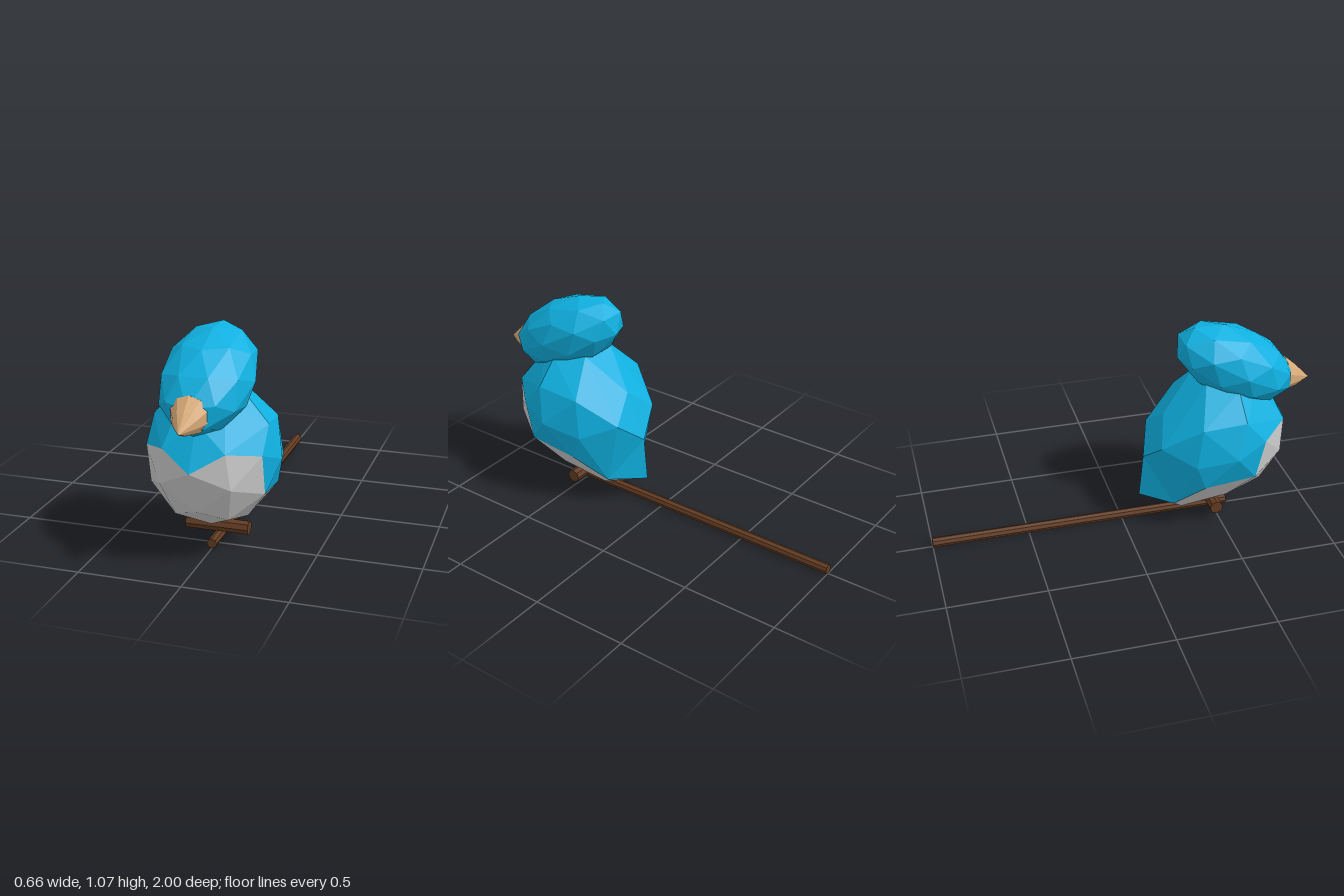
import * as THREE from 'three';

const paint = (name, color) => {
  const m = new THREE.MeshStandardMaterial({ color });
  m.name = name;
  return m;
};

// Faceted mesh: split the corners so every face has its own normal
function facet(name, geometry, material) {
  const g = geometry.index ? geometry.toNonIndexed() : geometry;
  g.deleteAttribute('normal');
  g.computeVertexNormals();
  const mesh = new THREE.Mesh(g, material);
  mesh.name = name;
  return mesh;
}

// Corners of an icosahedron, right half only; the other half is mirrored
const t = (1 + Math.sqrt(5)) / 2;
const CORNERS = {
  A: [0, -1, t], B: [0, 1, t], C: [t, 0, 1], D: [1, -t, 0],
  E: [1, t, 0], F: [t, 0, -1], G: [0, 1, -t], H: [0, -1, -t],
};

// Sculpted places of corners (one letter) and edge midpoints (two letters)
const BELLY = {
  AB: [0, 0.49, 0.88], A: [0, 0.27, 0.78], BC: [0.15, 0.575, 0.815], AC: [0.17, 0.4, 0.8],
  C: [0.28, 0.535, 0.675], CD: [0.28, 0.335, 0.63], AD: [0.13, 0.22, 0.71],
  D: [0.165, 0.17, 0.52], DD: [0, 0.13, 0.58], DF: [0.27, 0.3, 0.37],
  DH: [0.1, 0.09, 0.3], FH: [0.15, 0.15, 0.24], H: [0, 0.135, 0.095],
};
const BACK = {
  B: [0, 0.7, 0.77], BE: [0.1, 0.77, 0.67], E: [0.17, 0.78, 0.56], EE: [0, 0.82, 0.56],
  EG: [0.1, 0.8, 0.41], CE: [0.28, 0.655, 0.57], CF: [0.33, 0.475, 0.52],
  EF: [0.26, 0.63, 0.35], F: [0.28, 0.43, 0.32], FG: [0.15, 0.49, 0.17],
  G: [0, 0.61, 0.22], GH: [0, 0.365, 0.115],
};

// Direction of a named point; a doubled letter is the midpoint across the mirror
function direction(key) {
  const v = new THREE.Vector3(...CORNERS[key[0]]);
  if (key.length === 2) {
    const w = new THREE.Vector3(...CORNERS[key[1]]);
    if (key[0] === key[1]) w.x *= -1;
    v.add(w);
  }
  return v.normalize();
}

function createBody(blue, grey) {
  const rows = [];
  for (const [table, belly] of [[BELLY, true], [BACK, false]]) {
    for (const key in table) rows.push({ dir: direction(key), to: table[key], belly });
  }
  const src = new THREE.IcosahedronGeometry(1, 1).attributes.position;
  const back = [], front = [], p = new THREE.Vector3();
  for (let i = 0; i < src.count; i += 3) {
    const face = [];
    let isBelly = true;
    for (let k = 0; k < 3; k++) {
      p.fromBufferAttribute(src, i + k);
      const side = p.x < 0 ? -1 : 1;
      p.x = Math.abs(p.x);
      const row = rows.reduce((a, b) => (b.dir.dot(p) > a.dir.dot(p) ? b : a));
      face.push(side * row.to[0], row.to[1], row.to[2]);
      isBelly = isBelly && row.belly;
    }
    (isBelly ? front : back).push(...face);
  }
  const group = new THREE.Group();
  group.name = 'body';
  for (const [name, list, mat] of [['back', back, blue], ['belly', front, grey]]) {
    const g = new THREE.BufferGeometry();
    g.setAttribute('position', new THREE.Float32BufferAttribute(list, 3));
    group.add(facet(name, g, mat));
  }
  return group;
}

export function createModel() {
  const blue = paint('blue feathers', 0x0fb0e0);
  const grey = paint('pale belly', 0xcccccc);
  const tan = paint('tan beak', 0xd8aa78);
  const brown = paint('brown wood', 0x633c22);

  const model = new THREE.Group();
  model.name = 'perchedBird';
  model.add(createBody(blue, grey));

  // Head: long faceted ellipsoid dipping towards the beak
  const head = new THREE.IcosahedronGeometry(1, 1);
  head.rotateX(THREE.MathUtils.degToRad(-118));
  head.scale(0.223, 0.18, 0.34);
  head.rotateX(THREE.MathUtils.degToRad(27));
  head.translate(0, 0.86, 0.59);
  model.add(facet('head', head, blue));

  // Beak: rounded cone whose tip droops
  const profile = [[0, 0.8], [0.08, 0.82], [0.092, 0.86], [0.058, 0.92], [0, 1]];
  const beak = new THREE.LatheGeometry(profile.map(([r, z]) => new THREE.Vector2(r, z)), 10);
  beak.rotateX(Math.PI / 2);
  const pos = beak.attributes.position;
  for (let i = 0; i < pos.count; i++) {
    pos.setY(i, pos.getY(i) + 0.76 - Math.max(0, pos.getZ(i) - 0.86) * 0.32);
  }
  model.add(facet('beak', beak, tan));

  // Crosswise perch under the bird and the long stick below it
  const perch = new THREE.CylinderGeometry(0.035, 0.035, 0.314, 8);
  perch.rotateZ(Math.PI / 2);
  perch.translate(0, 0.085, 0.475);
  model.add(facet('perch', perch, brown));

  const stick = new THREE.CylinderGeometry(0.025, 0.025, 1.575, 8);
  stick.rotateX(Math.PI / 2);
  stick.translate(0, 0.025, -0.2125);
  model.add(facet('stick', stick, brown));

  return model;
}
